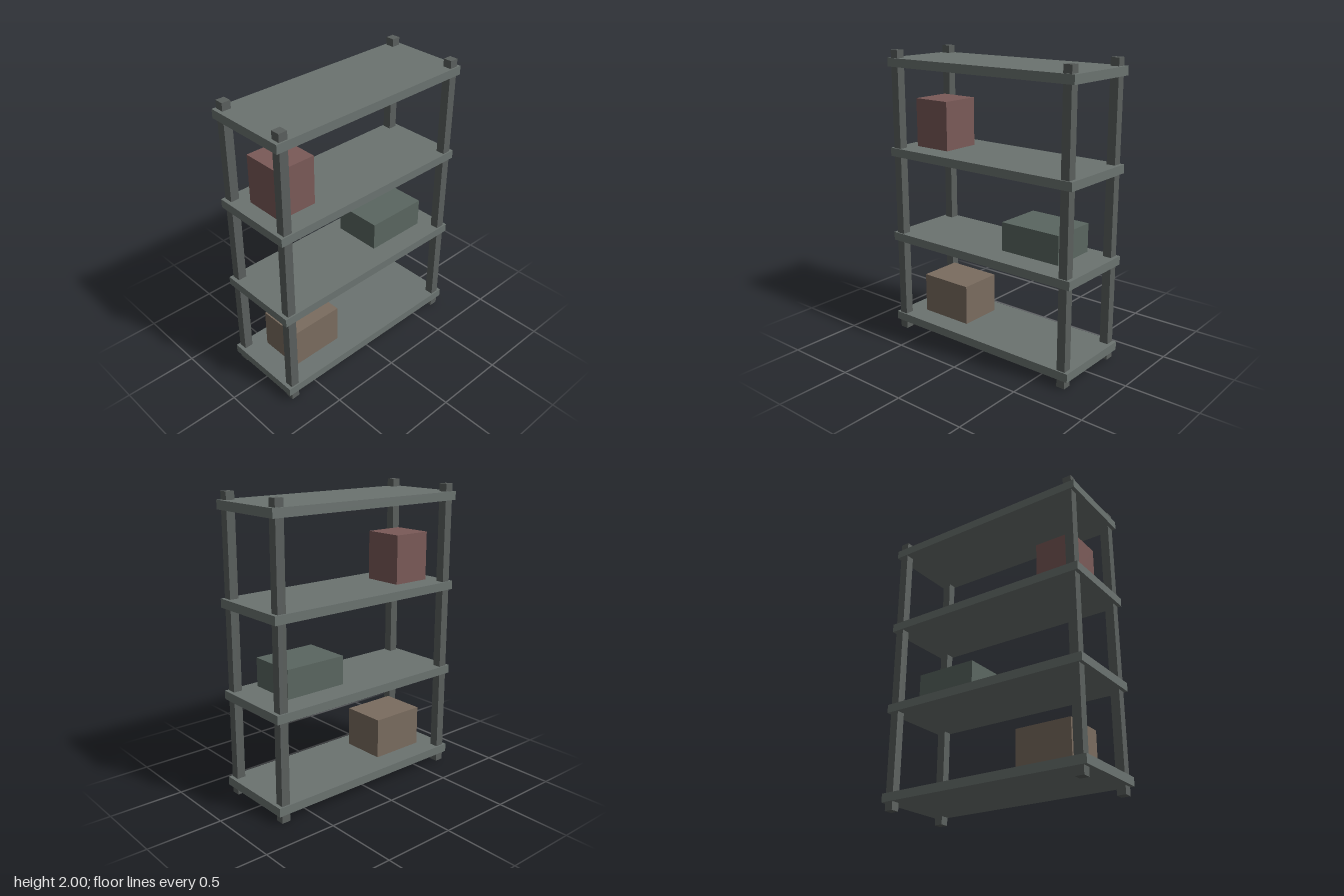
import * as THREE from 'three';

const paint = (color) => new THREE.MeshStandardMaterial({ color });

// Box standing on height y
function block(name, [w, h, d], [x, y, z], material) {
  const mesh = new THREE.Mesh(new THREE.BoxGeometry(w, h, d), material);
  mesh.name = name;
  mesh.position.set(x, y + h / 2, z);
  return mesh;
}

export function createModel() {
  const model = new THREE.Group();
  model.name = 'shelvingUnit';
  const postPaint = paint(0x5a5f5d);
  const shelfPaint = paint(0x6b7370);

  // Four corner posts, running through every shelf
  for (const [side, x] of [['Left', 0.695], ['Right', -0.695]]) {
    for (const [end, z] of [['front', 0.25], ['back', -0.25]]) {
      model.add(block(`${end}${side}Post`, [0.06, 2, 0.06], [x, 0, z], postPaint));
    }
  }

  // Four evenly spaced shelves
  for (let i = 0; i < 4; i++) {
    model.add(block(`shelf${i + 1}`, [1.5, 0.058, 0.58], [0, 0.057 + i * 0.611, 0], shelfPaint));
  }

  // Stored boxes
  model.add(
    block('brownBox', [0.389, 0.278, 0.306], [-0.39, 0.125, 0], paint(0x7a6c5f)),
    block('greenBox', [0.444, 0.194, 0.333], [0.358, 0.752, 0], paint(0x5a6660)),
    block('redBox', [0.278, 0.333, 0.278], [-0.502, 1.338, 0], paint(0x7a5a58)),
  );
  return model;
}
